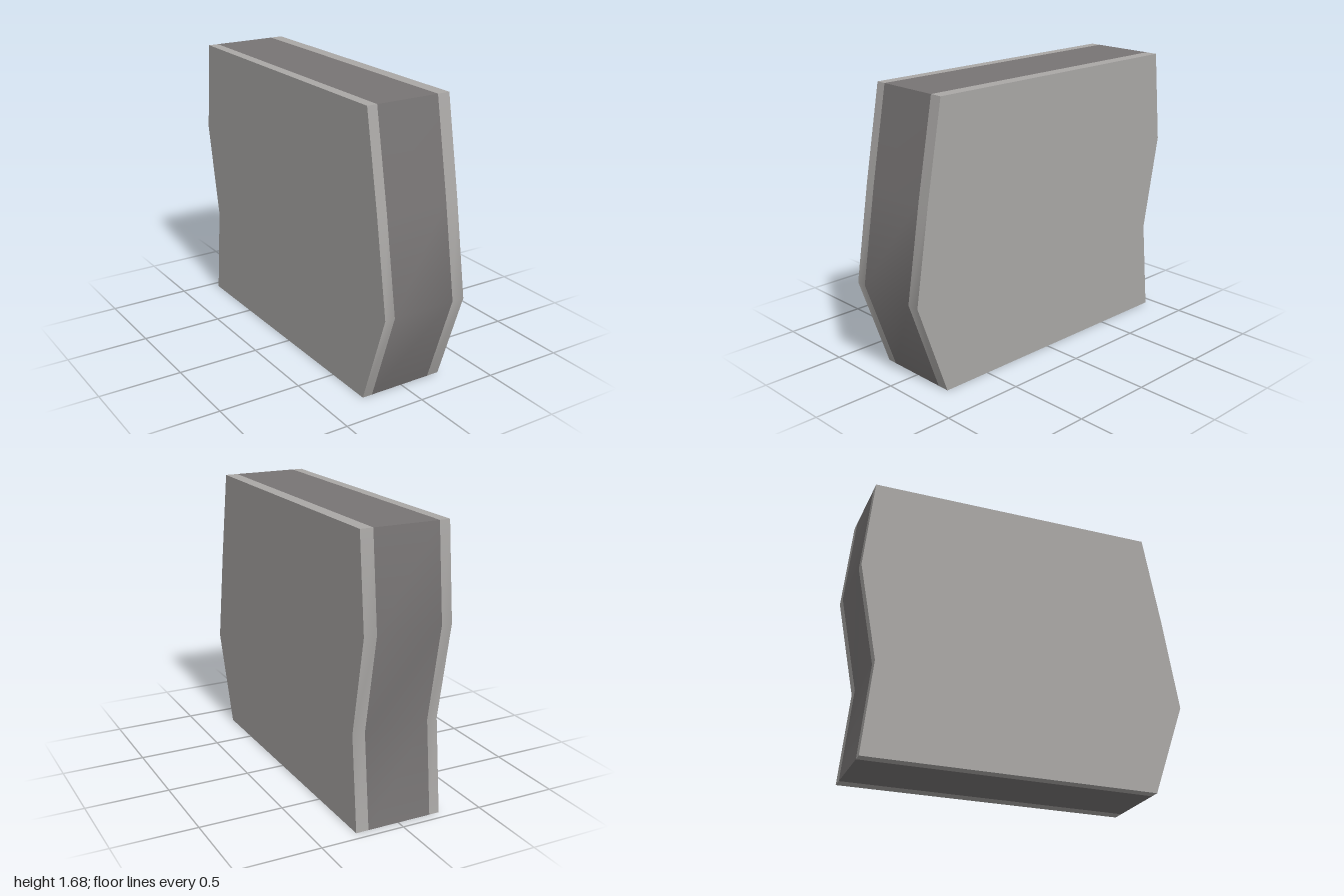
import * as THREE from 'three';
import { toCreasedNormals } from 'three/addons/utils/BufferGeometryUtils.js';

// Side outline as [z, y], from the bottom front edge up and round to the back
const OUTLINE = [
  [0.805, 0], [1, 0.555], [0.908, 1.12], [0.805, 1.678],
  [-0.945, 1.678], [-1, 1.13], [-0.89, 0.555], [-0.945, 0],
];
const HALF_WIDTH = 0.264;
const BAND_LEFT = 0.188;
const BAND_RIGHT = -0.202;

// Strip of the rim between two x positions, smooth along front and back
function rimGeometry(x0, x1) {
  const positions = [];
  OUTLINE.forEach(([za, ya], i) => {
    const [zb, yb] = OUTLINE[(i + 1) % OUTLINE.length];
    positions.push(x0, ya, za, x1, ya, za, x1, yb, zb);
    positions.push(x0, ya, za, x1, yb, zb, x0, yb, zb);
  });
  const geometry = new THREE.BufferGeometry();
  geometry.setAttribute('position', new THREE.Float32BufferAttribute(positions, 3));
  return toCreasedNormals(geometry, Math.PI / 4);
}

// Flat side panel facing +x (sign 1) or -x (sign -1)
function sideGeometry(sign) {
  const shape = new THREE.Shape(OUTLINE.map(([z, y]) => new THREE.Vector2(-sign * z, y)));
  return new THREE.ShapeGeometry(shape)
    .rotateY(sign * Math.PI / 2)
    .translate(sign * HALF_WIDTH, 0, 0);
}

export function createModel() {
  const lightGrey = new THREE.MeshStandardMaterial({ color: 0xaaa8a6 });
  lightGrey.name = 'light grey';
  const darkGrey = new THREE.MeshStandardMaterial({ color: 0x787575 });
  darkGrey.name = 'dark grey';

  const group = new THREE.Group();
  group.name = 'slab';
  const add = (name, geometry, material) => {
    const mesh = new THREE.Mesh(geometry, material);
    mesh.name = name;
    group.add(mesh);
  };

  // Dark band round the middle, with a light border on each side
  add('centreBand', rimGeometry(BAND_RIGHT, BAND_LEFT), darkGrey);
  add('leftBorder', rimGeometry(BAND_LEFT, HALF_WIDTH), lightGrey);
  add('rightBorder', rimGeometry(-HALF_WIDTH, BAND_RIGHT), lightGrey);

  // Large side panels
  add('leftPanel', sideGeometry(1), lightGrey);
  add('rightPanel', sideGeometry(-1), lightGrey);

  return group;
}
